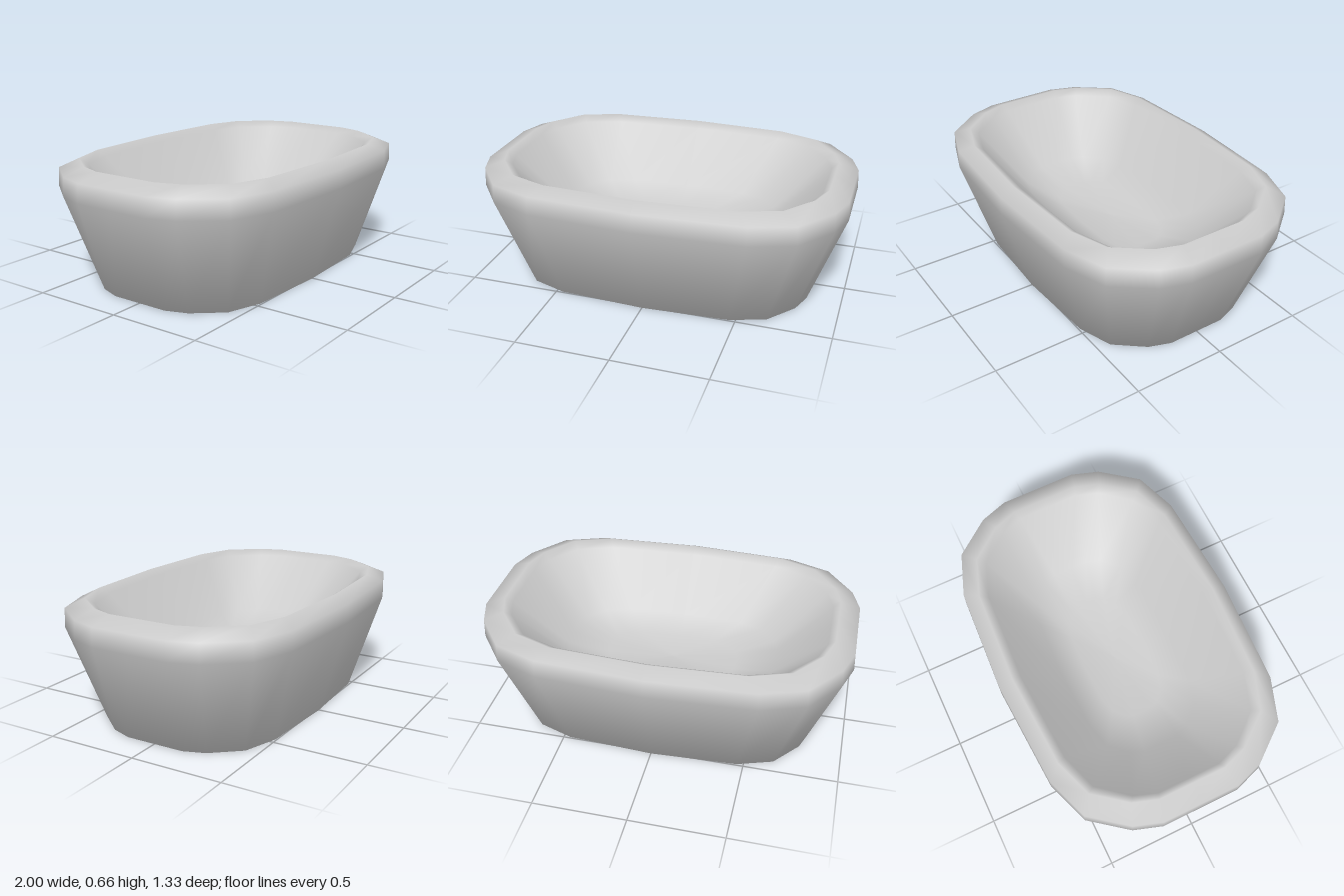
import * as THREE from 'three';

// One quarter of the tub outline, from the +x end round to the +z side
const QUARTER = [[1, 0], [1, 0.21], [0.95, 0.36], [0.8, 0.553], [0.57, 0.635], [0, 0.667]];

// Rings from the middle of the base, up the outside, over the rim and down to the floor: y, x scale, z scale
const RINGS = [
  [0, 0, 0],
  [0, 0.815, 0.775],
  [0.52, 1, 1],
  [0.62, 0.995, 0.995],
  [0.662, 0.89, 0.88],
  [0.63, 0.855, 0.81],
  [0.35, 0.58, 0.48],
  [0.29, 0.36, 0.27],
  [0.28, 0, 0],
];

// Mirror the quarter into a closed outline
function fullOutline() {
  const half = [...QUARTER, ...QUARTER.slice(0, -1).reverse().map(([x, z]) => [-x, z])];
  return [...half, ...half.slice(1, -1).reverse().map(([x, z]) => [x, -z])];
}

// Smooth skin through all the rings
function loftGeometry(outline, rings) {
  const n = outline.length;
  const positions = [];
  const indices = [];
  for (const [y, sx, sz] of rings) {
    for (const [x, z] of outline) positions.push(x * sx, y, z * sz);
  }
  for (let i = 0; i < rings.length - 1; i++) {
    for (let j = 0; j < n; j++) {
      const a = i * n + j;
      const b = i * n + (j + 1) % n;
      if (rings[i][1] > 0) indices.push(a, a + n, b);
      if (rings[i + 1][1] > 0) indices.push(b, a + n, b + n);
    }
  }
  const geometry = new THREE.BufferGeometry();
  geometry.setAttribute('position', new THREE.Float32BufferAttribute(positions, 3));
  geometry.setIndex(indices);
  geometry.computeVertexNormals();
  return geometry;
}

export function createModel() {
  const group = new THREE.Group();
  group.name = 'bathtub';
  const material = new THREE.MeshStandardMaterial({ color: 0xcccccc });
  const basin = new THREE.Mesh(loftGeometry(fullOutline(), RINGS), material);
  basin.name = 'basin';
  group.add(basin);
  return group;
}
